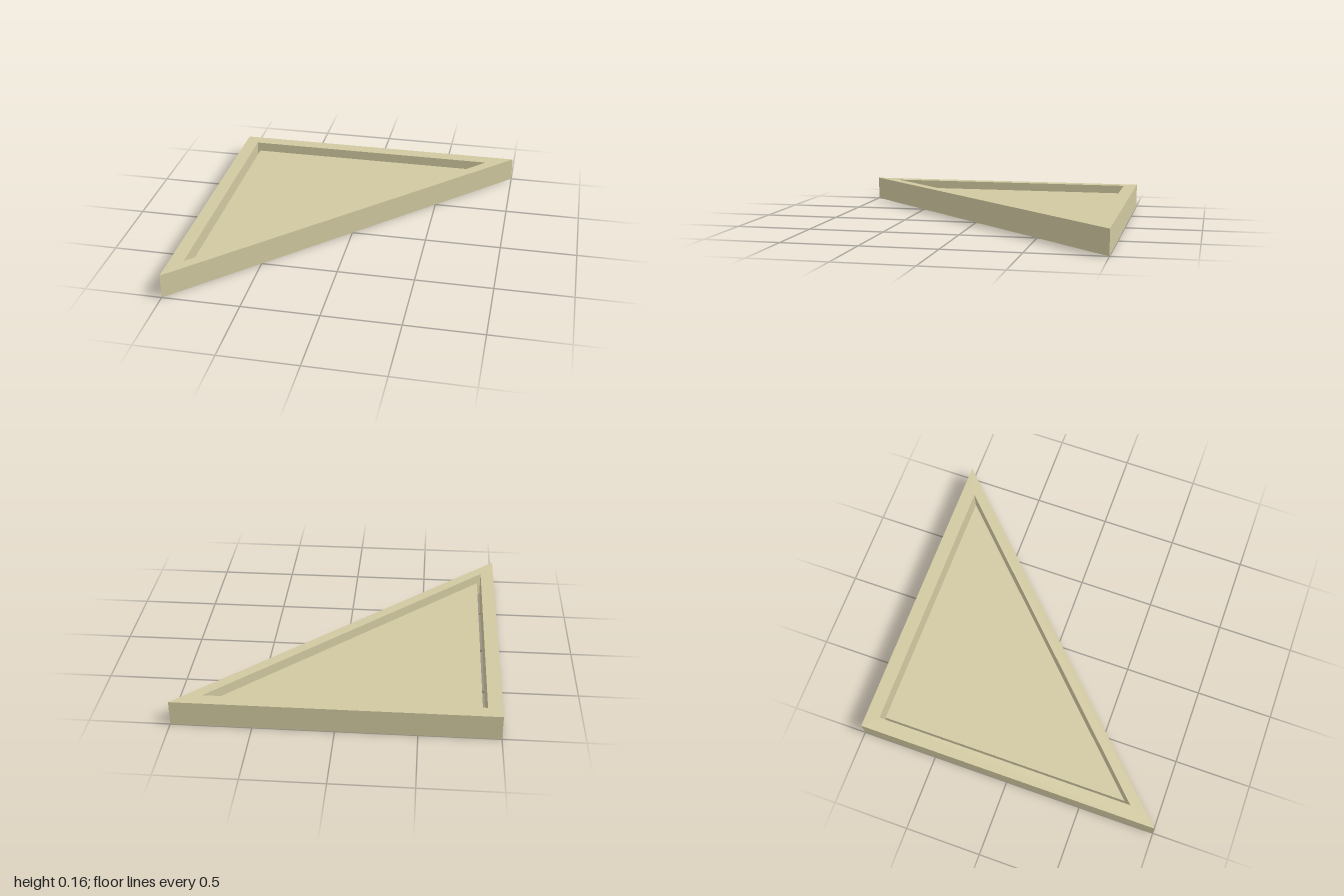
import * as THREE from 'three';

// Right-angled triangle path with its square corner at (corner, corner) and legs of the given length
function trace(path, corner, leg) {
  path.moveTo(corner, -corner);
  path.lineTo(corner, -corner - leg);
  path.lineTo(corner + leg, -corner);
  path.closePath();
  return path;
}

// Extrudes a plan shape upwards from y = bottom
function slab(name, shape, bottom, height, material) {
  const geometry = new THREE.ExtrudeGeometry(shape, { depth: height, bevelEnabled: false });
  geometry.rotateX(-Math.PI / 2);
  geometry.translate(0, bottom, 0);
  const mesh = new THREE.Mesh(geometry, material);
  mesh.name = name;
  return mesh;
}

export function createModel() {
  const group = new THREE.Group();
  group.name = 'triangularPanel';

  const tan = new THREE.MeshStandardMaterial({ color: 0xd0c8a0 });
  tan.name = 'tan';

  // Outer rim with a triangular opening
  const rim = trace(new THREE.Shape(), -1, 2);
  rim.holes.push(trace(new THREE.Path(), -0.91, 1.72));
  group.add(slab('frame', rim, 0, 0.16, tan));

  // Thinner panel, set in the opening with a narrow gap all round
  const infill = trace(new THREE.Shape(), -0.885, 1.65);
  group.add(slab('innerPanel', infill, 0.053, 0.054, tan));

  return group;
}
